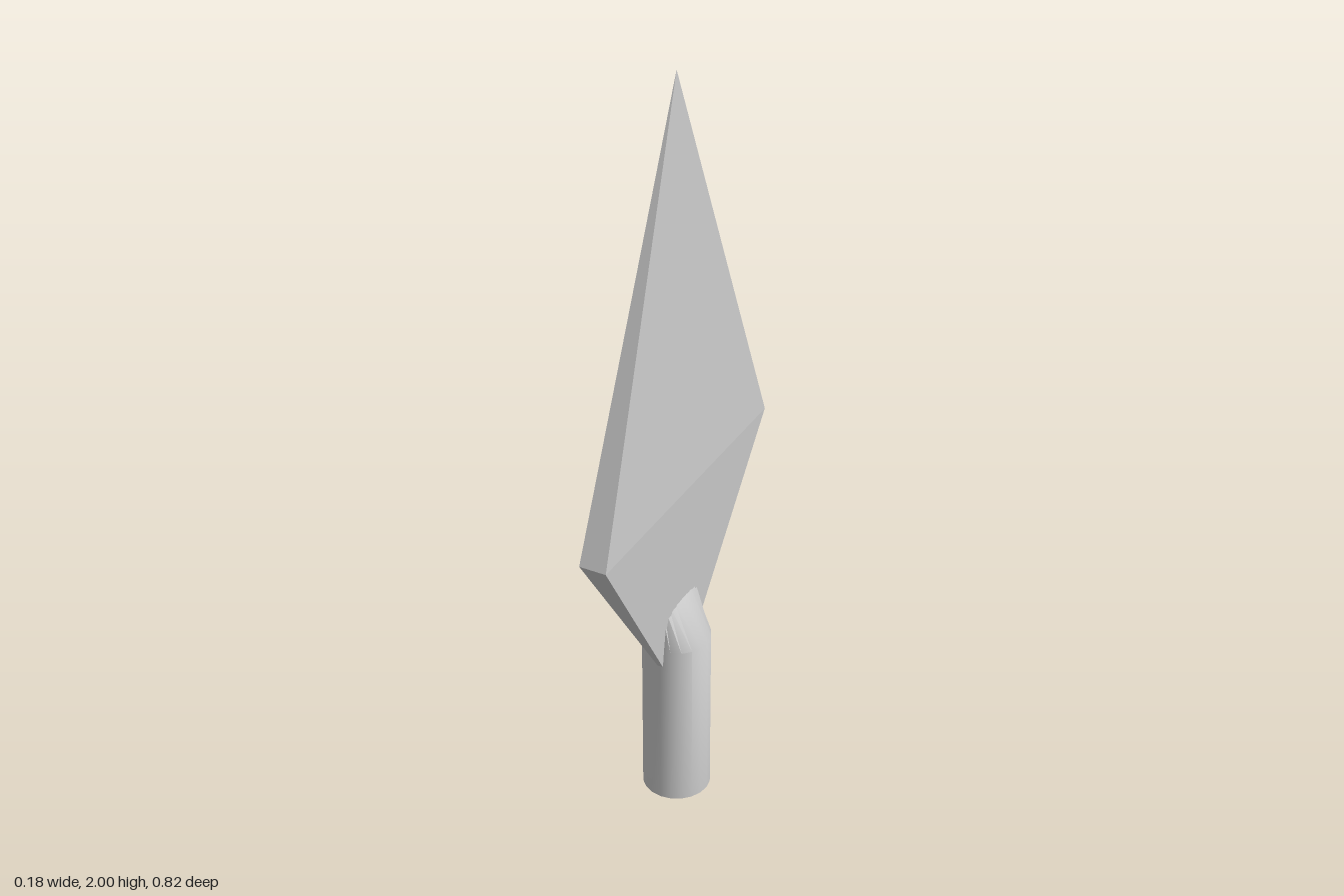
import * as THREE from 'three';
import { mergeVertices, toCreasedNormals } from 'three/addons/utils/BufferGeometryUtils.js';

const grey = (flat) => new THREE.MeshStandardMaterial({ color: 0xcccccc, flatShading: flat });

// Flat diamond blade: a thin rectangle tapering to a point above and below
function makeBlade() {
  const x = 0.035, z = 0.412, yMid = 0.92;
  const ring = [[x, z], [x, -z], [-x, -z], [-x, z]];
  const points = [];
  ring.forEach(([ax, az], i) => {
    const [bx, bz] = ring[(i + 1) % 4];
    points.push(ax, yMid, az, bx, yMid, bz, 0, 2, 0);
    points.push(bx, yMid, bz, ax, yMid, az, 0, 0.29, 0);
  });
  const geo = new THREE.BufferGeometry();
  geo.setAttribute('position', new THREE.Float32BufferAttribute(points, 3));
  geo.computeVertexNormals();
  const mesh = new THREE.Mesh(geo, grey(true));
  mesh.name = 'blade';
  return mesh;
}

// Round socket whose top is pinched into a wedge against the blade
function makeSocket() {
  const radius = 0.088, shoulder = 0.47, top = 0.605;
  let geo = new THREE.CylinderGeometry(radius, radius, 1, 20, 2);
  const pos = geo.attributes.position;
  for (let i = 0; i < pos.count; i++) {
    const level = Math.round((pos.getY(i) + 0.5) * 2);
    pos.setY(i, [0, shoulder, top][level]);
    if (level === 2) pos.setX(i, pos.getX(i) * 0.02);
  }
  geo.deleteAttribute('uv');
  geo.deleteAttribute('normal');
  geo = toCreasedNormals(mergeVertices(geo), 0.75);
  const mesh = new THREE.Mesh(geo, grey(false));
  mesh.name = 'socket';
  return mesh;
}

export function createModel() {
  const group = new THREE.Group();
  group.name = 'spearhead';
  group.add(makeBlade(), makeSocket());
  return group;
}
